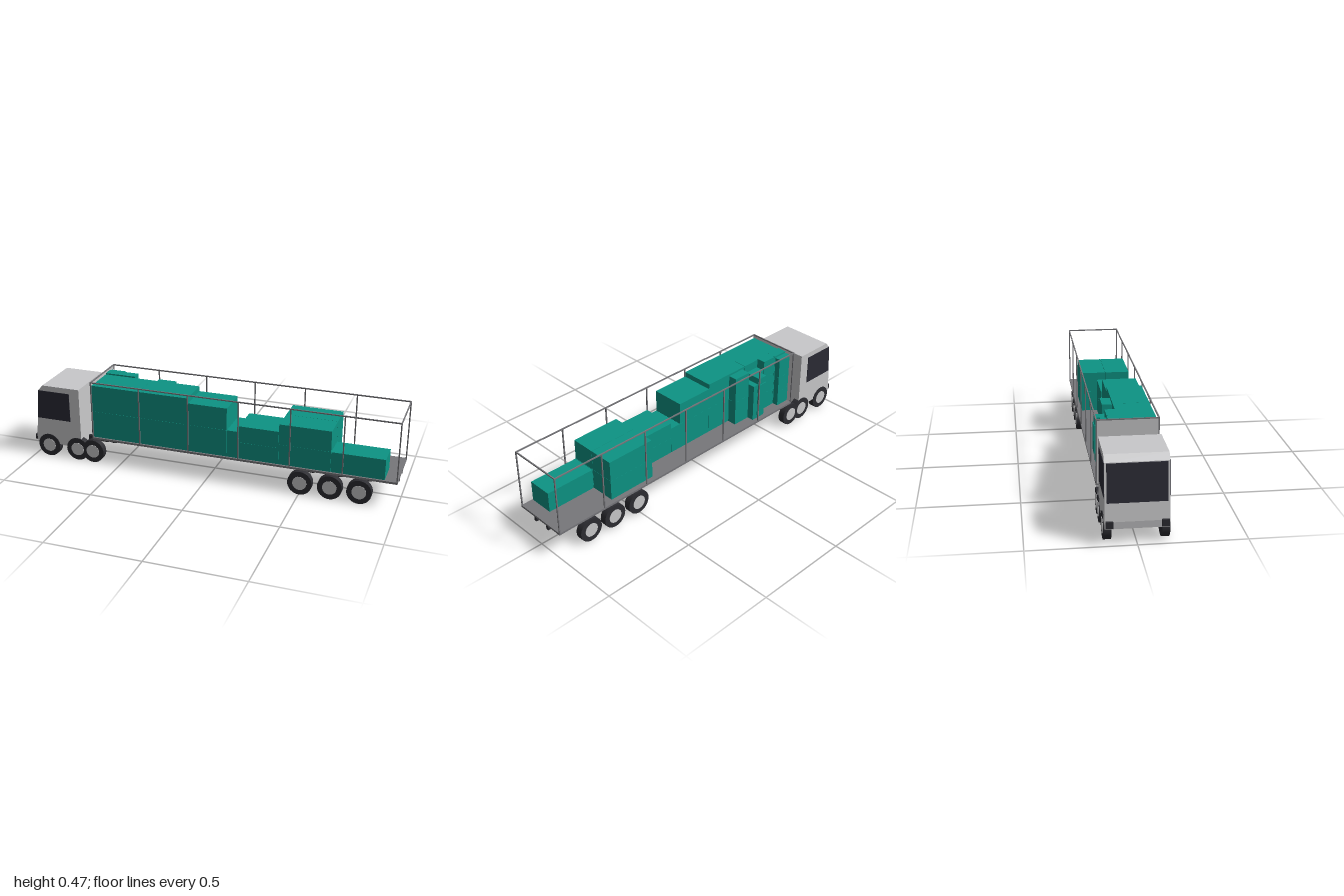
import * as THREE from 'three';

const mat = (name, color) => {
  const m = new THREE.MeshStandardMaterial({ color });
  m.name = name;
  return m;
};

export function createModel() {
  const root = new THREE.Group();
  root.name = 'cargoTruck';
  const paint = mat('cabGrey', 0xc9c9cb);
  const steel = mat('steelGrey', 0x77777b);
  const dark = mat('chassisBlack', 0x2d2d32);
  const glass = mat('darkGlass', 0x2b2b35);
  const teal = mat('cargoTeal', 0x0d9484);

  const add = (name, geo, material, parent = root) => {
    const m = new THREE.Mesh(geo, material);
    m.name = name;
    parent.add(m);
    return m;
  };
  // Box given by its extents on each axis
  const box = (name, material, [x0, x1], [y0, y1], [z0, z1], parent = root) => {
    const m = add(name, new THREE.BoxGeometry(x1 - x0, y1 - y0, z1 - z0), material, parent);
    m.position.set((x0 + x1) / 2, (y0 + y1) / 2, (z0 + z1) / 2);
    return m;
  };
  // Side outline extruded across the width, centred on z
  const slab = (points, width) => {
    const shape = new THREE.Shape(points.map(p => new THREE.Vector2(...p)));
    return new THREE.ExtrudeGeometry(shape, { depth: width, bevelEnabled: false }).translate(0, 0, -width / 2);
  };

  // Cab with sloping front and chamfered roof edge
  const cab = new THREE.Group();
  cab.name = 'cab';
  root.add(cab);
  add('cabBody', slab([[-0.985, 0.075], [-0.72, 0.075], [-0.72, 0.41], [-0.935, 0.41], [-0.96, 0.38], [-0.988, 0.11]], 0.29), paint, cab);
  const windshield = add('windshield', new THREE.BoxGeometry(0.008, 0.18, 0.27), glass, cab);
  windshield.position.set(-0.97, 0.287, 0);
  windshield.rotation.z = -0.104;
  for (const s of [1, -1]) {
    const win = add('sideWindow', slab([[-0.973, 0.22], [-0.778, 0.22], [-0.778, 0.38], [-0.96, 0.38]], 0.004), glass, cab);
    win.position.z = s * 0.146;
    box('headlight', dark, [-1, -0.98], [0.085, 0.115], [s * 0.125 - 0.017, s * 0.125 + 0.017], cab);
  }

  // Chassis rails of tractor and trailer
  for (const s of [1, -1]) {
    const z = [s * 0.046 - 0.008, s * 0.046 + 0.008];
    box('tractorRail', dark, [-0.95, -0.6], [0.085, 0.11], z);
    box('trailerRail', dark, [-0.67, 0.99], [0.11, 0.138], z);
  }
  box('couplingPlate', dark, [-0.71, -0.6], [0.118, 0.137], [-0.034, 0.034]);

  // Wheels
  const tireGeo = new THREE.CylinderGeometry(0.064, 0.064, 0.035, 32).rotateX(Math.PI / 2);
  const hubGeo = new THREE.CylinderGeometry(0.037, 0.037, 0.006, 24).rotateX(Math.PI / 2);
  for (const x of [-0.914, -0.743, -0.652, 0.503, 0.658, 0.808]) {
    for (const s of [1, -1]) {
      const wheel = new THREE.Group();
      wheel.name = 'wheel';
      wheel.position.set(x, 0.064, s * 0.131);
      add('tire', tireGeo, dark, wheel);
      add('hub', hubGeo, paint, wheel).position.z = s * 0.0165;
      root.add(wheel);
    }
  }

  // Trailer deck, front wall and open frame
  const X0 = -0.648, X1 = 0.994, Z = 0.149, TOP = 0.466, T = 0.006;
  box('deck', steel, [X0, X1], [0.138, 0.149], [-Z, Z]);
  box('frontWall', paint, [X0, X0 + 0.004], [0.149, TOP - T], [-Z + T, Z - T]);
  for (const s of [1, -1]) {
    const z = s > 0 ? [Z - T, Z] : [-Z, -Z + T];
    box('topRail', steel, [X0, X1], [TOP - T, TOP], z);
    for (let i = 0; i <= 6; i++) {
      const x = X0 + (X1 - X0 - T) * i / 6;
      box('post', steel, [x, x + T], [0.149, TOP - T], z);
    }
  }
  for (const x of [X0, X1 - T]) box('crossBar', steel, [x, x + T], [TOP - T, TOP], [-Z + T, Z - T]);

  // Stacked crates: x range, z range, then the heights at which each stack splits
  const G = 0.0006;
  const stacks = [
    [[-0.643, -0.372], [-0.038, 0.143], [0.15, 0.298, 0.445]],
    [[-0.372, -0.1], [-0.038, 0.143], [0.15, 0.298, 0.445]],
    [[-0.1, 0.112], [-0.038, 0.143], [0.15, 0.298, 0.418]],
    [[0.112, 0.176], [-0.038, 0.143], [0.15, 0.298]],
    [[0.176, 0.387], [-0.038, 0.143], [0.15, 0.24, 0.33]],
    [[0.387, 0.657], [0.01, 0.143], [0.15, 0.26, 0.371]],
    [[0.387, 0.657], [-0.125, 0.01], [0.15, 0.26, 0.371]],
    [[0.657, 0.93], [0.01, 0.143], [0.15, 0.26]],
    [[-0.643, -0.555], [-0.089, -0.038], [0.15, 0.25, 0.35, 0.452]],
    [[-0.555, -0.47], [-0.089, -0.038], [0.15, 0.25, 0.35, 0.452]],
    [[-0.643, -0.56], [-0.121, -0.089], [0.15, 0.24, 0.33, 0.428, 0.443]],
    [[-0.47, -0.44], [-0.089, -0.038], [0.15, 0.28, 0.4]],
    [[-0.44, -0.385], [-0.126, -0.038], [0.15, 0.215, 0.362, 0.4]],
    [[-0.44, -0.385], [-0.138, -0.126], [0.215, 0.362]],
    [[-0.44, -0.385], [-0.134, -0.126], [0.362, 0.4]],
    [[-0.385, -0.352], [-0.126, -0.038], [0.15, 0.362]],
    [[-0.352, -0.25], [-0.089, -0.038], [0.15, 0.29, 0.435]],
  ];
  const cargo = new THREE.Group();
  cargo.name = 'cargo';
  root.add(cargo);
  for (const [x, z, ys] of stacks) {
    for (let i = 1; i < ys.length; i++) {
      box('crate', teal, [x[0] + G, x[1] - G], [ys[i - 1] + G, ys[i]], [z[0] + G, z[1] - G], cargo);
    }
  }
  return root;
}
